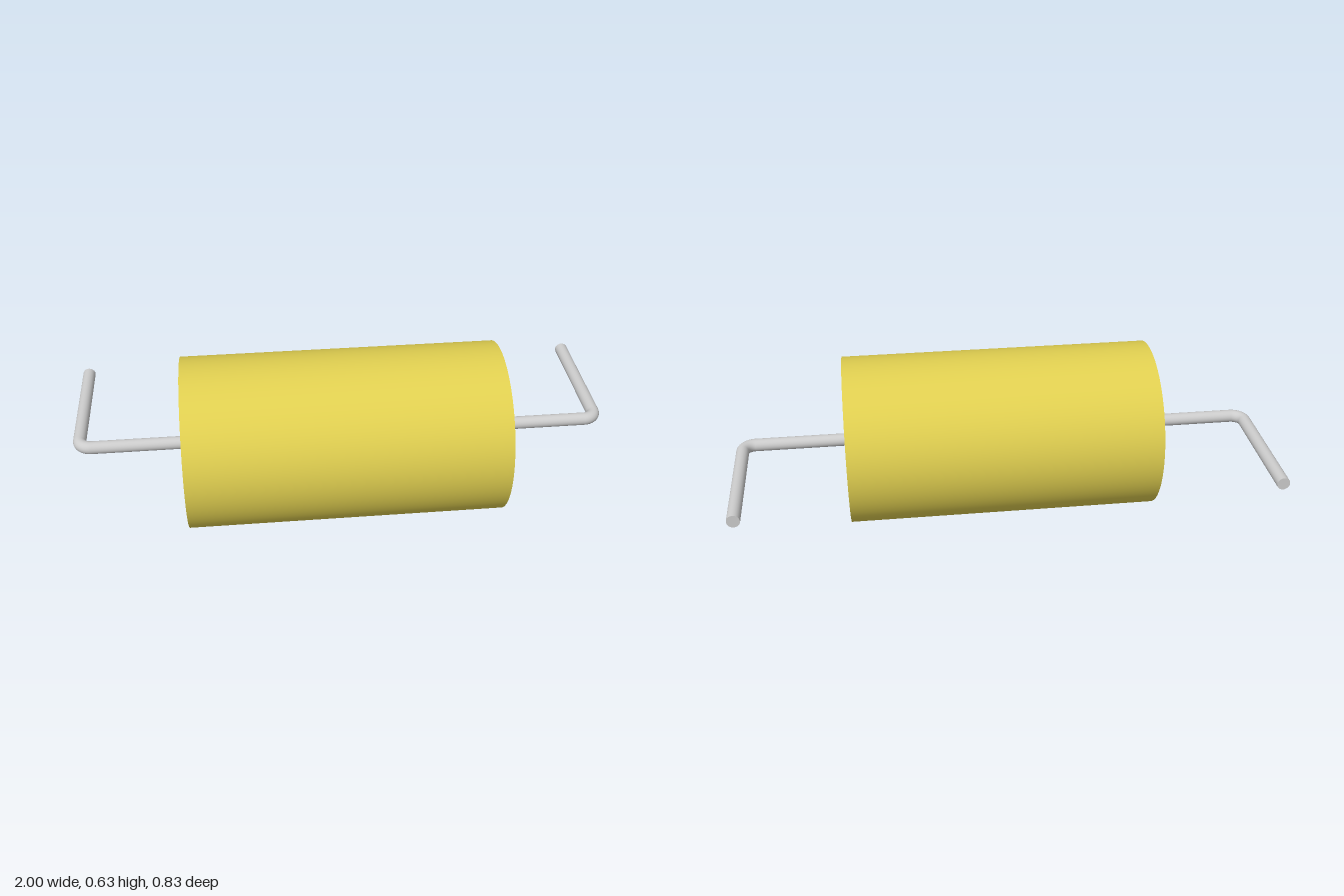
import * as THREE from 'three';
import { toCreasedNormals } from 'three/addons/utils/BufferGeometryUtils.js';

const R = 0.3175, INNER = 0.286, HALF = 0.585, RECESS = 0.03; // body
const WIRE = 0.024, BEND = 0.046, REACH = 0.976, TAIL = -0.513; // leads
const AXIS_Z = 0.0975;

export function createModel() {
  const model = new THREE.Group();
  const yellow = new THREE.MeshStandardMaterial({ color: 0xe0cf50 });
  const grey = new THREE.MeshStandardMaterial({ color: 0xcccccc });

  // Cylindrical body with a shallow recess in each end
  const floor = HALF - RECESS;
  const profile = [
    [0, -floor], [INNER, -floor], [INNER, -HALF], [R, -HALF],
    [R, HALF], [INNER, HALF], [INNER, floor], [0, floor],
  ].map(([x, y]) => new THREE.Vector2(x, y));
  const bodyGeometry = toCreasedNormals(new THREE.LatheGeometry(profile, 72), 0.6);
  bodyGeometry.rotateZ(-Math.PI / 2);
  const body = new THREE.Mesh(bodyGeometry, yellow);
  body.name = 'body';
  model.add(body);

  // Bent wire lead: straight out of the end, round the bend, then backwards
  function makeLead(name) {
    const lead = new THREE.Group();
    lead.name = name;
    const add = (part, geometry) => {
      const mesh = new THREE.Mesh(geometry, grey);
      mesh.name = part;
      lead.add(mesh);
    };
    const start = floor - 0.01, bendX = REACH - BEND;
    add('axialWire', new THREE.CylinderGeometry(WIRE, WIRE, bendX - start, 24)
      .rotateZ(-Math.PI / 2).translate((start + bendX) / 2, 0, 0));
    add('wireBend', new THREE.TorusGeometry(BEND, WIRE, 24, 12, Math.PI / 2)
      .rotateX(Math.PI / 2).translate(bendX, 0, -BEND));
    add('wireTail', new THREE.CylinderGeometry(WIRE, WIRE, -BEND - TAIL, 24)
      .rotateX(Math.PI / 2).translate(REACH, 0, (TAIL - BEND) / 2));
    return lead;
  }
  const leftLead = makeLead('leftLead');
  const rightLead = makeLead('rightLead');
  rightLead.rotation.z = Math.PI; // half turn mirrors the lead to the other end
  model.add(leftLead, rightLead);

  model.position.set(0, R, AXIS_Z);
  const root = new THREE.Group();
  root.name = 'axialComponent';
  root.add(model);
  return root;
}
